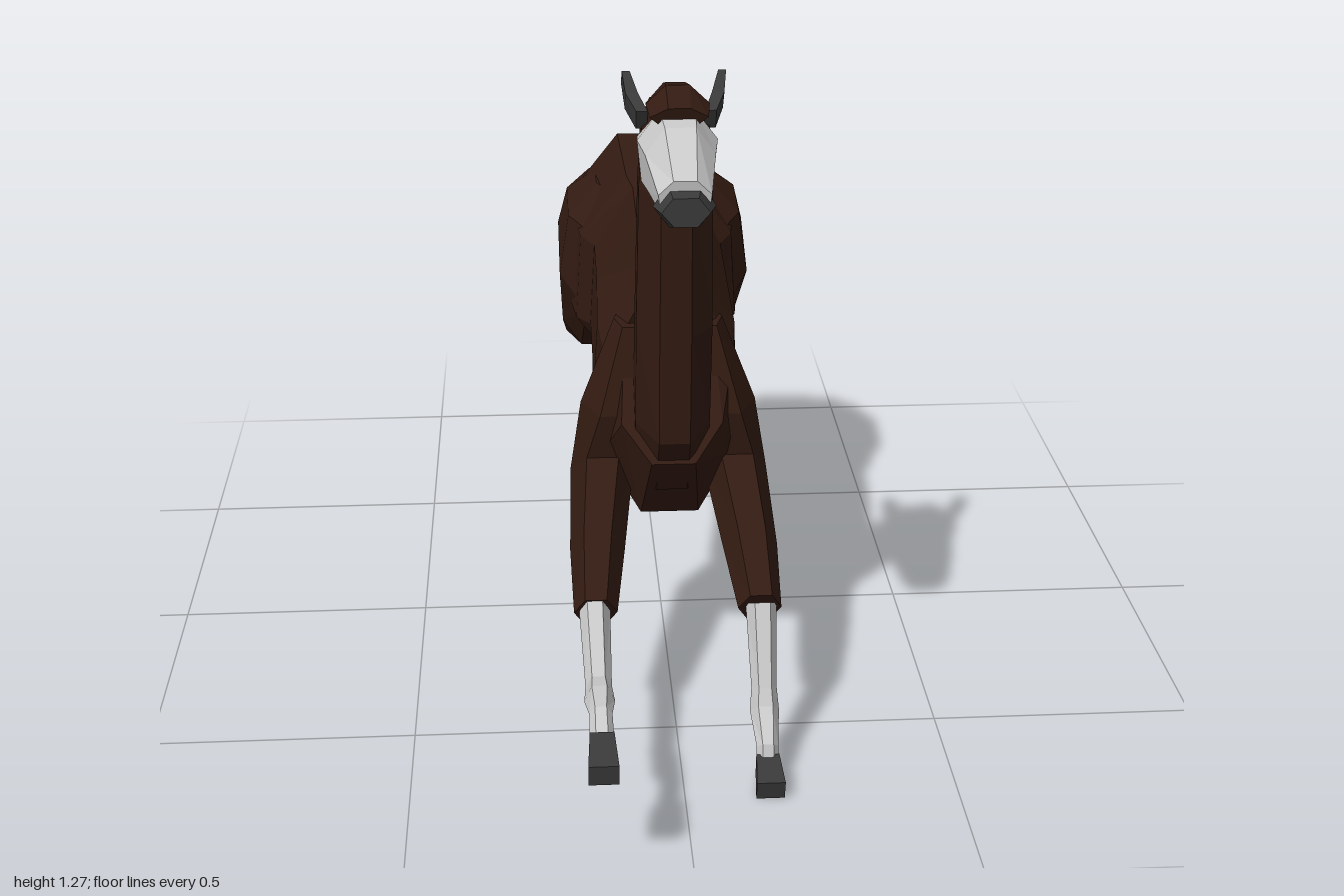
import * as THREE from 'three';

const material = (color) =>
  new THREE.MeshStandardMaterial({ color, flatShading: true, side: THREE.DoubleSide });

// Skin along a path in the side plane, each ring square to the path.
// Each row is [z, y, thickness, half width, x]; taper scales the width on the upper or front edge.
function loft(name, rows, mat, { sides = 6, mirror = 1, taper = 1 } = {}) {
  const pos = [], idx = [], k = 1 / Math.cos(Math.PI / sides);
  rows.forEach(([z, y, thick, half, x = 0], r) => {
    const before = rows[Math.max(r - 1, 0)], after = rows[Math.min(r + 1, rows.length - 1)];
    const along = new THREE.Vector2(after[0] - before[0], after[1] - before[1]).normalize();
    for (let i = 0; i < sides; i++) {
      const a = ((i + 0.5) / sides) * Math.PI * 2;
      const up = -Math.cos(a) * k / 2;
      const w = half * THREE.MathUtils.lerp(1, taper, up + 0.5);
      pos.push(mirror * (x + Math.sin(a) * k * w), y - along.x * thick * up, z + along.y * thick * up);
    }
  });
  for (let r = 0; r < rows.length - 1; r++) {
    for (let i = 0; i < sides; i++) {
      const a = r * sides + i, b = r * sides + ((i + 1) % sides);
      idx.push(a, b, b + sides, a, b + sides, a + sides);
    }
  }
  const last = (rows.length - 1) * sides;
  for (let i = 1; i < sides - 1; i++) idx.push(0, i + 1, i, last, last + i, last + i + 1);

  // turn the faces outward by the sign of the enclosed volume
  const corner = (i) => new THREE.Vector3().fromArray(pos, i * 3);
  let volume = 0;
  for (let i = 0; i < idx.length; i += 3) {
    volume += corner(idx[i]).dot(corner(idx[i + 1]).cross(corner(idx[i + 2])));
  }
  if (volume < 0) idx.reverse();

  const geometry = new THREE.BufferGeometry();
  geometry.setAttribute('position', new THREE.Float32BufferAttribute(pos, 3));
  geometry.setIndex(idx);
  geometry.computeVertexNormals();
  const mesh = new THREE.Mesh(geometry, mat);
  mesh.name = name;
  return mesh;
}

export function createModel() {
  const model = new THREE.Group();
  model.name = 'leapingLlama';
  const wool = material(0x331b12), pale = material(0xcccccc), dark = material(0x3a3a3a);
  const add = (...args) => model.add(loft(...args));

  // Torso from chest to rump, widening at the hips
  add('torso', [
    [0.325, 0.62, 0.27, 0.1],
    [0.27, 0.575, 0.44, 0.135],
    [0.14, 0.608, 0.475, 0.15],
    [0, 0.652, 0.475, 0.145],
    [-0.13, 0.675, 0.45, 0.145],
    [-0.17, 0.68, 0.45, 0.175],
    [-0.375, 0.693, 0.465, 0.2],
    [-0.465, 0.667, 0.41, 0.18],
    [-0.512, 0.68, 0.2, 0.1],
  ], wool, { sides: 8, taper: 0.85 });
  add('tail', [[-0.505, 0.775, 0.02, 0.05], [-0.51, 0.72, 0.035, 0.055], [-0.5, 0.67, 0.02, 0.03]], wool);

  // Neck from chest to crown
  add('neck', [
    [0.28, 0.46, 0.15, 0.07],
    [0.33, 0.6, 0.22, 0.07],
    [0.383, 0.8, 0.145, 0.07],
    [0.418, 1.07, 0.115, 0.066],
    [0.415, 1.18, 0.11, 0.06],
    [0.425, 1.225, 0.05, 0.045],
  ], wool, { sides: 8 });

  // Head from muzzle to cheeks
  add('face', [
    [0.675, 1.115, 0.085, 0.037],
    [0.555, 1.132, 0.165, 0.05],
    [0.48, 1.132, 0.18, 0.058],
    [0.43, 1.135, 0.13, 0.056],
  ], pale, { sides: 8, taper: 1.3 });
  add('nose', [[0.699, 1.108, 0.05, 0.034], [0.66, 1.108, 0.075, 0.044]], dark, { taper: 1.1 });
  add('foreheadTuft', [
    [0.525, 1.222, 0.035, 0.055],
    [0.485, 1.235, 0.065, 0.06],
    [0.405, 1.215, 0.07, 0.055],
  ], wool, { taper: 0.6 });

  // Each pose is the path of a lower leg from knee to ankle, then the tip of the hoof
  const poses = {
    leftFront: [[0.535, 0.285], [0.61, 0.15], [0.625, 0.11], [0.685, 0.07], [0.69, 0.037], [0.755, 0.02]],
    rightFront: [[0.54, 0.28], [0.74, 0.24], [0.795, 0.243], [0.86, 0.257], [0.915, 0.235], [0.997, 0.222]],
    leftHind: [[-0.695, 0.528], [-0.78, 0.405], [-0.805, 0.37], [-0.82, 0.322], [-0.826, 0.285], [-0.838, 0.232]],
    rightHind: [[-0.69, 0.38], [-0.81, 0.37], [-0.878, 0.362], [-0.92, 0.335], [-0.968, 0.307], [-0.979, 0.258]],
  };
  const legThickness = [0.065, 0.045, 0.058, 0.032, 0.036];
  // Where each thigh bends and ends: the left one is raised, the right one lowered
  const thighs = { left: [[-0.435, 0.555], [-0.7, 0.528]], right: [[-0.44, 0.52], [-0.68, 0.375]] };

  for (const [side, mirror] of [['left', 1], ['right', -1]]) {
    add(side + 'Ear', [
      [0.445, 1.195, 0.04, 0.01, 0.06],
      [0.4, 1.217, 0.045, 0.011, 0.076],
      [0.368, 1.252, 0.045, 0.007, 0.085],
    ], dark, { sides: 4, mirror });

    // Shoulder and upper front leg
    add(side + 'FrontUpperLeg', [
      [0.225, 0.74, 0.11, 0.025, 0.075],
      [0.23, 0.57, 0.18, 0.06, 0.1],
      [0.245, 0.435, 0.15, 0.053, 0.13],
      [0.415, 0.345, 0.115, 0.045, 0.145],
      [0.535, 0.275, 0.085, 0.035, 0.153],
    ], wool, { mirror });

    // Haunch and thigh
    const [bend, end] = thighs[side];
    add(side + 'HindUpperLeg', [
      [-0.31, 0.855, 0.22, 0.05, 0.07],
      [-0.31, 0.8, 0.335, 0.085, 0.095],
      [-0.33, 0.69, 0.385, 0.09, 0.11],
      [...bend, 0.2, 0.068, 0.125],
      [...end, 0.075, 0.045, 0.137],
    ], wool, { sides: 8, mirror });

    // Lower legs and hooves
    for (const [pair, x] of [['Front', 0.155], ['Hind', 0.135]]) {
      const path = poses[side + pair];
      add(side + pair + 'LowerLeg',
        legThickness.map((t, i) => [...path[i], t, 0.01 + t * 0.23, x]), pale, { mirror });
      add(side + pair + 'Hoof',
        [[...path[4], 0.046, 0.021, x], [...path[5], 0.04, 0.026, x]], dark, { sides: 4, mirror });
    }
  }
  return model;
}
